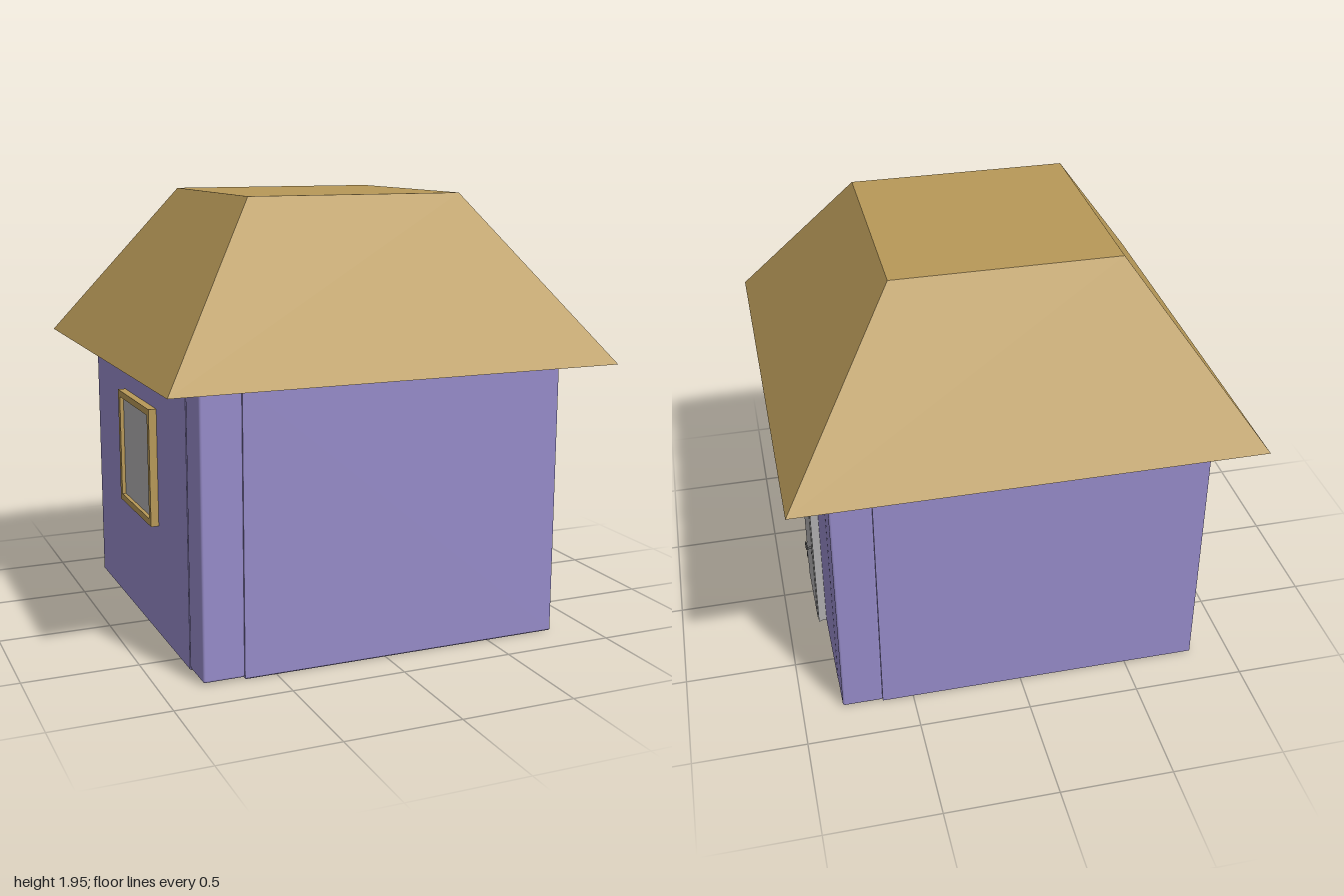
import * as THREE from 'three';
import { RoundedBoxGeometry } from 'three/addons/geometries/RoundedBoxGeometry.js';

const material = (name, color) => {
  const m = new THREE.MeshStandardMaterial({ color });
  m.name = name;
  return m;
};

export function createModel() {
  const lilac = material('lilac plaster', 0x968bc9);
  const straw = material('straw', 0xb89958);
  const grey = material('light grey', 0xb0afb0);
  const dark = material('dark metal', 0x505052);

  const house = new THREE.Group();
  house.name = 'house';

  const add = (parent, name, geometry, mat, x = 0, y = 0, z = 0) => {
    const mesh = new THREE.Mesh(geometry, mat);
    mesh.name = name;
    mesh.position.set(x, y, z);
    parent.add(mesh);
    return mesh;
  };
  // box given by its limits on each axis
  const block = (parent, name, mat, [x0, x1], [y0, y1], [z0, z1]) =>
    add(parent, name, new THREE.BoxGeometry(x1 - x0, y1 - y0, z1 - z0), mat,
      (x0 + x1) / 2, (y0 + y1) / 2, (z0 + z1) / 2);
  const group = (name) => {
    const g = new THREE.Group();
    g.name = name;
    house.add(g);
    return g;
  };

  // Two L-shaped walls facing each other, with slightly bevelled edges
  const outer = 0.82, inner = 0.64, bevel = 0.005, wallTop = 1.24;
  const plan = new THREE.Shape([
    [-inner, -outer], [outer, -outer], [outer, inner],
    [inner, inner], [inner, -inner], [-inner, -inner],
  ].map(([x, y]) => new THREE.Vector2(x, y)));
  const wallGeometry = new THREE.ExtrudeGeometry(plan, {
    depth: wallTop - 2 * bevel, bevelEnabled: true, bevelSize: bevel,
    bevelThickness: bevel, bevelOffset: -bevel, bevelSegments: 1,
  });
  wallGeometry.rotateX(-Math.PI / 2).translate(0, bevel, 0);
  add(house, 'frontRightWall', wallGeometry, lilac);
  add(house, 'backLeftWall', wallGeometry, lilac).rotation.y = Math.PI;

  // Corner posts fill the two gaps between the walls
  const postGeometry = new RoundedBoxGeometry(0.18, wallTop - 0.01, 0.18, 2, 0.01);
  for (const s of [1, -1]) {
    add(house, 'cornerPost', postGeometry, lilac, 0.73 * s, (wallTop + 0.01) / 2, -0.73 * s);
  }

  block(house, 'floor', grey, [-inner, inner], [0.012, 0.04], [-inner, inner]);

  // Truncated pyramid roof
  const roofBase = 1.235, roofTop = 1.95;
  const roof = new THREE.CylinderGeometry(0.49 * Math.SQRT2, Math.SQRT2, roofTop - roofBase, 4)
    .rotateY(Math.PI / 4).toNonIndexed();
  roof.computeVertexNormals();
  add(house, 'roof', roof, straw, 0, (roofBase + roofTop) / 2, 0);

  // Door on the right wall: frame, thin facing, leaf, hinges and handle
  const door = group('door');
  for (const [z0, z1] of [[0.128, 0.145], [-0.235, -0.215]]) {
    block(door, 'doorJamb', grey, [0.815, 0.85], [0.01, 0.825], [z0, z1]);
  }
  block(door, 'doorLintel', grey, [0.815, 0.85], [0.81, 0.825], [-0.215, 0.128]);
  for (const [z0, z1] of [[0.13, 0.15], [-0.24, -0.217]]) {
    block(door, 'doorFacing', grey, [0.845, 0.857], [0.01, 0.835], [z0, z1]);
  }
  block(door, 'doorFacingTop', grey, [0.845, 0.857], [0.815, 0.835], [-0.217, 0.13]);
  block(door, 'doorGap', dark, [0.82, 0.842], [0.012, 0.815], [-0.217, 0.13]);
  block(door, 'doorLeaf', grey, [0.83, 0.86], [0.014, 0.81], [-0.212, 0.125]);
  for (const y of [0.13, 0.715]) {
    add(door, 'hinge', new THREE.CylinderGeometry(0.005, 0.005, 0.035, 10), dark, 0.859, y, 0.132);
  }
  const spindle = add(door, 'handleSpindle', new THREE.CylinderGeometry(0.006, 0.006, 0.025, 10),
    dark, 0.87, 0.43, -0.192);
  spindle.rotation.z = Math.PI / 2;
  add(door, 'handleLever', new RoundedBoxGeometry(0.009, 0.011, 0.056, 2, 0.004),
    dark, 0.881, 0.43, -0.172);
  block(door, 'keyhole', dark, [0.859, 0.864], [0.396, 0.404], [-0.196, -0.188]);

  // Window on the left wall: straw frame around a recessed pane
  const casement = group('window');
  const depth = [-0.855, -0.815];
  for (const [z0, z1] of [[-0.3, -0.27], [0.185, 0.215]]) {
    block(casement, 'windowStile', straw, depth, [0.51, 1.035], [z0, z1]);
  }
  for (const [y0, y1] of [[0.51, 0.54], [1.005, 1.035]]) {
    block(casement, 'windowRail', straw, depth, [y0, y1], [-0.27, 0.185]);
  }
  block(casement, 'windowPane', grey, [-0.838, -0.815], [0.54, 1.005], [-0.27, 0.185]);

  return house;
}
